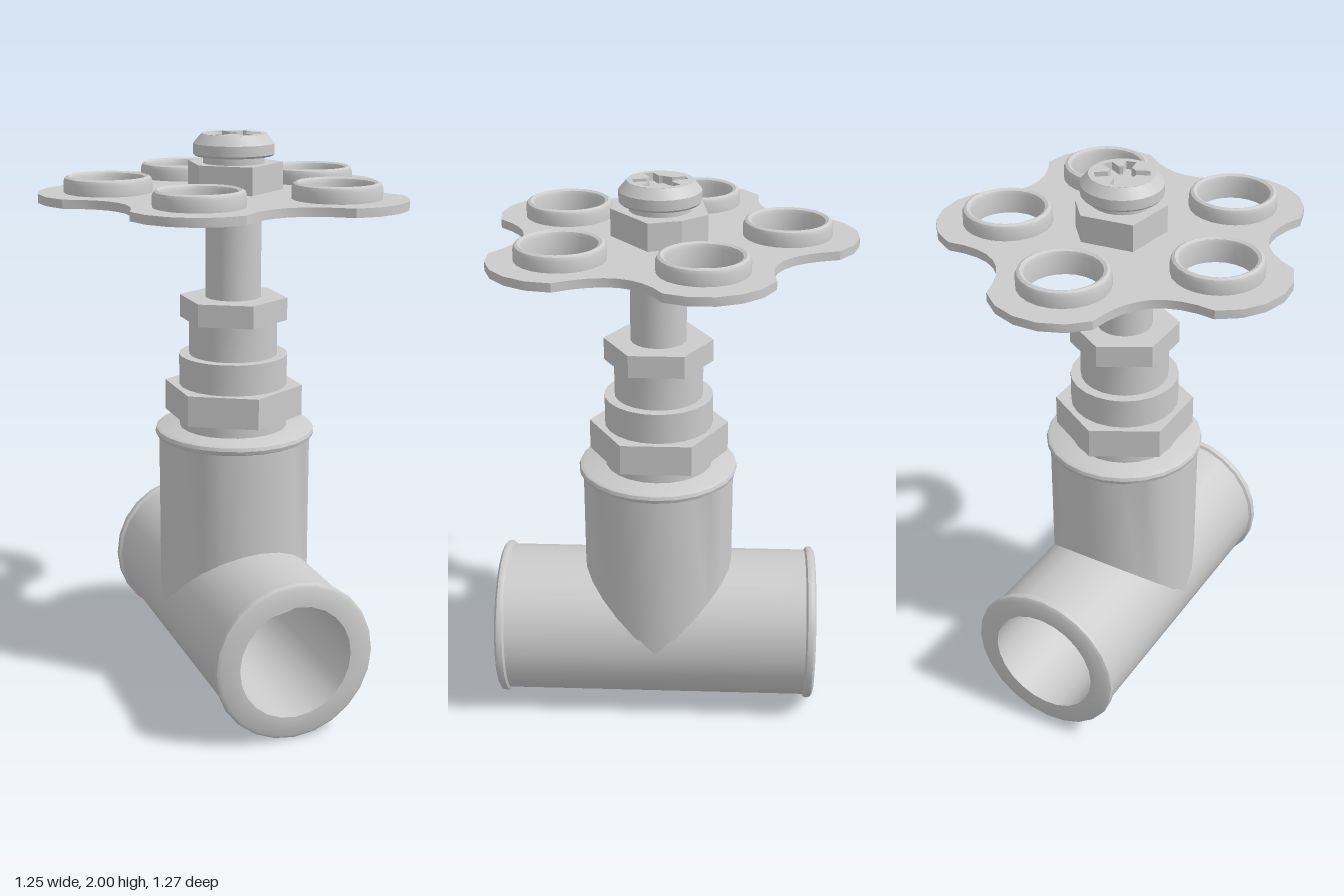
import * as THREE from 'three';
import { toCreasedNormals } from 'three/addons/utils/BufferGeometryUtils.js';

const CX = 0.03, CZ = 0.043; // axis of the upright parts

export function createModel() {
  const model = new THREE.Group();
  const material = new THREE.MeshStandardMaterial({ color: 0xcccccc });

  const add = (name, geometry, x = 0, y = 0, z = 0, crease = 0.6) => {
    const mesh = new THREE.Mesh(toCreasedNormals(geometry, crease), material);
    mesh.name = name;
    mesh.position.set(x, y, z);
    model.add(mesh);
    return mesh;
  };
  const lathe = (profile, sides = 24) =>
    new THREE.LatheGeometry(profile.map(([r, y]) => new THREE.Vector2(r, y)), sides);
  // Extrudes a shape drawn in x/z downwards from y = 0
  const slab = (shape, depth, bevel = 0) =>
    new THREE.ExtrudeGeometry(shape, {
      depth, curveSegments: 20, bevelEnabled: bevel > 0,
      bevelSize: bevel, bevelThickness: bevel, bevelOffset: -bevel, bevelSegments: 1,
    }).rotateX(Math.PI / 2);
  // Upright solid between two heights
  const drum = (name, radius, y0, y1, sides = 24) =>
    add(name, new THREE.CylinderGeometry(radius, radius, y1 - y0, sides), 0.026, (y0 + y1) / 2, 0.04);

  // Horizontal pipe with a rounded rim at both ends
  const half = 0.588;
  const pipe = [
    [0.203, -half], [0.272, -half], [0.284, -half + 0.008], [0.287, -half + 0.018], [0.284, -half + 0.03], [0.274, -half + 0.036],
    [0.274, half - 0.036], [0.284, half - 0.03], [0.287, half - 0.018], [0.284, half - 0.008], [0.272, half], [0.203, half], [0.203, -half],
  ];
  add('pipe', lathe(pipe).rotateX(Math.PI / 2), CX, 0.288, 0.046);

  // Branch rising from the pipe, with its rim
  add('branch', lathe([
    [0, 0.31], [0.272, 0.31], [0.272, 0.93], [0.282, 0.935], [0.286, 0.948],
    [0.282, 0.96], [0.27, 0.967], [0, 0.967],
  ]), CX, 0, CZ);

  // Bonnet: stepped collars and two hexagonal nuts
  drum('bonnetCollar', 0.193, 0.96, 1.23);
  drum('bonnetNut', 0.248, 1.01, 1.12, 6);
  drum('packingCollar', 0.157, 1.22, 1.37);
  drum('packingNut', 0.192, 1.355, 1.435, 6);
  drum('stem', 0.098, 1.43, 1.79);

  // Handwheel plate: a lobe around each hole, joined by hollows
  const hub = new THREE.Vector2(0.01, 0.02);
  const holes = [[-0.012, -0.397], [0.385, -0.121], [0.278, 0.343], [-0.214, 0.364], [-0.387, -0.084]]
    .map(([x, z]) => new THREE.Vector2(x, z));
  const polar = (centre, radius, angle) =>
    new THREE.Vector2(centre.x + radius * Math.cos(angle), centre.y + radius * Math.sin(angle));
  const lobes = holes.map((c) => {
    const mid = c.clone().sub(hub).angle();
    return [-50, -30, -10, 10, 30, 50].map((d) => polar(c, 0.243, mid + THREE.MathUtils.degToRad(d)));
  });
  const outline = [];
  lobes.forEach((lobe, i) => {
    const a = lobe[5], b = lobes[(i + 1) % 5][0];
    const between = holes[i].clone().sub(hub).normalize()
      .add(holes[(i + 1) % 5].clone().sub(hub).normalize()).angle();
    const valley = polar(hub, 0.475, between);
    const control = valley.multiplyScalar(2).sub(a.clone().add(b).multiplyScalar(0.5));
    outline.push(...lobe, ...new THREE.QuadraticBezierCurve(a, control, b).getPoints(8).slice(1, -1));
  });
  const plate = new THREE.Shape(outline);
  holes.forEach((c) => plate.holes.push(new THREE.Path().absarc(c.x, c.y, 0.122, 0, Math.PI * 2, true)));
  add('handwheelPlate', slab(plate, 0.03), 0, 1.805, 0);

  // Raised rounded collar around each hole
  const collar = [
    [0.152, 1.8], [0.152, 1.843], [0.147, 1.855], [0.137, 1.86],
    [0.126, 1.855], [0.121, 1.843], [0.121, 1.775],
  ];
  holes.forEach((c) => add('holeCollar', lathe(collar), c.x, 0, c.y));

  // Irregular nut on the handwheel
  const nut = [[-0.09, -0.105], [0.092, -0.13], [0.165, -0.045], [0.2, 0.065], [0.032, 0.2], [-0.115, 0.08]];
  add('handwheelNut', slab(new THREE.Shape(nut.map(([x, z]) => new THREE.Vector2(x, z))), 0.105), 0, 1.9, 0, 0.2);

  // Screw cap with a slotted recess in the top
  const capX = 0.03, capZ = 0.032;
  add('capBody', lathe([
    [0, 1.89], [0.106, 1.89], [0.106, 1.925], [0.134, 1.925], [0.14, 1.932], [0.14, 1.967], [0.112, 2],
  ]), capX, 0, capZ, 0.4);
  const top = new THREE.Shape().absarc(0, 0, 0.112, 0, Math.PI * 2, false);
  const recess = [];
  const origin = new THREE.Vector2();
  [-106, -38, 27, 79, 151].forEach((deg) => {
    const angle = THREE.MathUtils.degToRad(deg);
    recess.push(polar(origin, 0.048, angle - 0.36), polar(origin, 0.093, angle - 0.19),
      polar(origin, 0.093, angle + 0.19), polar(origin, 0.048, angle + 0.36), polar(origin, 0.048, angle + 0.6));
  });
  top.holes.push(new THREE.Path(recess.reverse()));
  add('capTop', slab(top, 0.03), capX, 2, capZ, 0.3);
  add('recessFloor', new THREE.CircleGeometry(0.11, 24).rotateX(-Math.PI / 2), capX, 1.972, capZ);

  return model;
}
